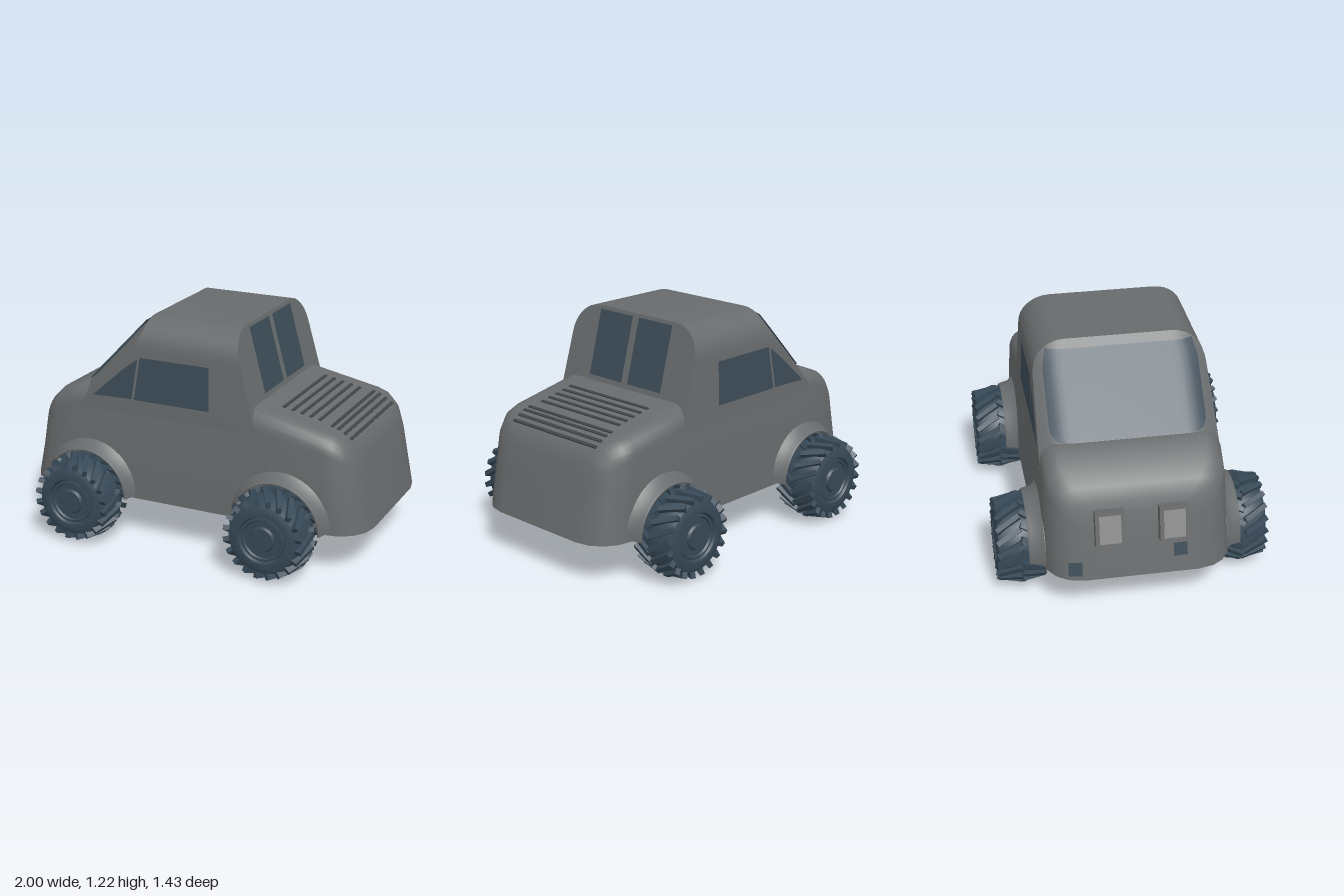
import * as THREE from 'three';
import { mergeGeometries, toCreasedNormals } from 'three/addons/utils/BufferGeometryUtils.js';

const { lerp, clamp } = THREE.MathUtils;
const material = (name, color, side = THREE.FrontSide) => {
  const m = new THREE.MeshStandardMaterial({ color, side });
  m.name = name;
  return m;
};

// Surface through points f(i, j)
function grid(nu, nv, f, crease = 0.6) {
  const pos = [], idx = [];
  for (let i = 0; i < nu; i++) for (let j = 0; j < nv; j++) pos.push(...f(i, j));
  for (let i = 0; i < nu - 1; i++) for (let j = 0; j < nv - 1; j++) {
    const a = i * nv + j, b = a + 1, c = a + nv, d = c + 1;
    idx.push(a, b, c, b, d, c);
  }
  const g = new THREE.BufferGeometry();
  g.setAttribute('position', new THREE.Float32BufferAttribute(pos, 3));
  g.setIndex(idx);
  return toCreasedNormals(g, crease);
}

const FLOOR = 0.23;
const ROOF = 1.22;
const inset = y => 0.04 * (y - FLOOR);
const sideZ = y => 0.488 - inset(y);
const frontX = (y, z) => -0.64 + (y - 0.825) * 0.962 + 3.5 * Math.max(0, Math.abs(z) - 0.3) ** 2;
const rearX = y => 0.365 - (y - 0.83) * 0.269;

// Half profile of the cabin: straight side, then the round roof edge
const cabinHalf = [[0.7, sideZ(0.7)], [0.88, sideZ(0.88)]];
for (let k = 0; k <= 8; k++) {
  const a = k / 8 * Math.PI / 2;
  cabinHalf.push([1.05 + 0.17 * Math.sin(a), sideZ(1.05) - 0.17 * (1 - Math.cos(a))]);
}

// Leaning hull stations: plan angle, top x, top y
const frontEnd = [[90, -0.92, 0.57], [65, -0.9, 0.63], [45, -0.865, 0.7], [22, -0.79, 0.765], [0, -0.64, 0.825]];
const rearEnd = [[0, 0.74, 0.755], [20, 0.8, 0.738], [42, 0.86, 0.7], [65, 0.9, 0.65], [90, 0.917, 0.59]];

function hullGeometry() {
  const end = s => ([deg, xt, yt]) => {
    const a = deg * Math.PI / 180;
    return { xb: s * (0.8 + 0.195 * Math.sin(a)), xt, yt, w: 0.292 + 0.195 * Math.cos(a) };
  };
  const mid = (x, yt) => ({ xb: x, xt: x, yt, w: 0.487 });
  const stations = [...frontEnd.map(end(-1)), mid(-0.5, 0.8), mid(0.3, 0.8), mid(0.365, 0.83), ...rearEnd.map(end(1))];
  const rings = stations.map(({ xb, xt, yt, w }) => {
    const r = 0.1, half = [[FLOOR, w], [0.4, w - inset(0.4)]];
    for (let k = 0; k <= 6; k++) {
      const a = k / 6 * Math.PI / 2;
      half.push([yt - r + r * Math.sin(a), w - inset(yt - r) - r * (1 - Math.cos(a))]);
    }
    const full = [...half, ...half.slice().reverse().map(([y, z]) => [y, -z]), half[0]];
    return full.map(([y, z]) => [lerp(xb, xt, (y - FLOOR) / (yt - FLOOR)), y, z]);
  });
  // Flat ends close on a middle point
  const cap = ({ xb, xt, yt }, n) => Array(n).fill([(xb + xt) / 2, (FLOOR + yt) / 2, 0]);
  const n = rings[0].length;
  const all = [cap(stations[0], n), ...rings, cap(stations.at(-1), n)];
  return grid(n, all.length, (i, j) => all[j][i]);
}

// Treaded tyre with its hub, axle along z
function wheelGeometries() {
  const profile = [[0, -0.11], [0.15, -0.125], [0.185, -0.115], [0.205, -0.07], [0.214, 0], [0.205, 0.07],
    [0.185, 0.115], [0.155, 0.128], [0.128, 0.126], [0.12, 0.11]];
  const hubProfile = [[0.122, 0.1], [0.118, 0.116], [0.106, 0.118], [0.1, 0.108], [0.068, 0.108], [0.06, 0.122], [0, 0.122]];
  const lathe = p => toCreasedNormals(
    new THREE.LatheGeometry(p.map(q => new THREE.Vector2(...q)), 36).rotateX(Math.PI / 2), 0.5);
  const lugs = [];
  for (let k = 0; k < 20; k++) for (const s of [-1, 1]) {
    const lug = new THREE.BoxGeometry(0.026, 0.034, 0.14);
    lug.rotateY(s * 0.5).rotateX(s * 0.2).translate(0, 0.209, s * 0.06);
    lugs.push(lug.rotateZ((k + (s > 0 ? 0 : 0.3)) / 20 * Math.PI * 2));
  }
  return { tyre: lathe(profile), hub: lathe(hubProfile), tread: mergeGeometries(lugs) };
}

export function createModel() {
  const model = new THREE.Group();
  const paint = material('grey paint', 0x686b6c, THREE.DoubleSide);
  const glass = material('dark blue glass', 0x3c4c58, THREE.DoubleSide);
  const rubber = material('blue black rubber', 0x364856);
  const lampGrey = material('lamp grey', 0x8e8e8e);
  const slot = material('dark slot', 0x404446);
  const add = (name, geometry, mat, parent = model) => {
    const mesh = new THREE.Mesh(geometry, mat);
    mesh.name = name;
    parent.add(mesh);
    return mesh;
  };

  add('hull', hullGeometry(), paint);

  // Cabin shell with its front and rear walls
  const shell = [...cabinHalf, ...cabinHalf.slice().reverse().map(([y, z]) => [y, -z])];
  add('cabinShell', grid(shell.length, 2, (i, j) => {
    const [y, z] = shell[i];
    return [j ? rearX(y) : frontX(y, z), y, z];
  }), paint);
  add('cabinFront', grid(cabinHalf.length, 25, (i, j) => {
    const [y, w] = cabinHalf[i], z = (j / 12 - 1) * w;
    return [frontX(y, z), y, z];
  }), paint);
  add('cabinRear', grid(2, cabinHalf.length, (i, j) => {
    const [y, w] = cabinHalf[j];
    return [rearX(y), y, i ? w : -w];
  }), paint);

  // Windscreen with rounded lower corners
  add('windscreen', grid(17, 25, (i, j) => {
    const t = i / 16, y = lerp(0.825, 1.18, t * t);
    const d = 1 - clamp((y - 0.825) / 0.05, 0, 1);
    const w = 0.355 + 0.05 * Math.sqrt(1 - d * d) - 0.02 * clamp((y - 1.1) / 0.08, 0, 1);
    const z = (j / 12 - 1) * w;
    return [frontX(y, z) - 0.006, y + 0.006, z];
  }), glass);

  // Side and rear windows
  const doorPane = [[-0.305, 0.785], [0.135, 0.785], [0.13, 1.02], [-0.27, 1.02]];
  const quarterPane = [[-0.555, 0.78], [-0.32, 0.787], [-0.285, 1.01], [-0.37, 0.945]];
  const pane = (points, place) => {
    const g = new THREE.ShapeGeometry(new THREE.Shape(points.map(p => new THREE.Vector2(...p))));
    const p = g.attributes.position;
    for (let i = 0; i < p.count; i++) p.setXYZ(i, ...place(p.getX(i), p.getY(i)));
    g.computeVertexNormals();
    return g;
  };
  for (const s of [-1, 1]) {
    const onSide = (x, y) => [x, y, s * (sideZ(y) + 0.005)];
    add('doorWindow', pane(doorPane, onSide), glass);
    add('quarterWindow', pane(quarterPane, onSide), glass);
    add('rearWindow', pane([[0.022, 0.858], [0.265, 0.858], [0.265, 1.203], [0.022, 1.203]],
      (z, y) => [rearX(y) + 0.005, y, s * z]), glass);
  }

  // Vent slots across the rear deck
  const deck = [[0.365, 0.83], ...rearEnd.map(([, x, y]) => [x, y])];
  const vents = [0.48, 0.53, 0.58, 0.63, 0.68, 0.755, 0.79, 0.825, 0.86];
  vents.forEach((x, i) => {
    const k = deck.findIndex(p => p[0] >= x - 1e-6);
    const [[x0, y0], [x1, y1]] = [deck[k - 1], deck[k]];
    const vent = add('deckVent', new THREE.BoxGeometry(0.016, 0.009, i < 5 ? 0.59 : 0.63), slot);
    vent.position.set(x, lerp(y0, y1, (x - x0) / (x1 - x0)) + 0.001, 0);
    vent.rotation.z = Math.atan2(y1 - y0, x1 - x0);
  });

  // Headlamps and small dark lower lamps on the leaning nose
  const lean = -0.21;
  for (const s of [-1, 1]) {
    const lamp = new THREE.Group();
    lamp.name = 'headlamp';
    lamp.position.set(-0.955, 0.513, s * 0.163);
    lamp.rotation.z = lean;
    add('lampHousing', new THREE.BoxGeometry(0.055, 0.185, 0.15), paint, lamp);
    add('lampLens', new THREE.BoxGeometry(0.008, 0.15, 0.11), lampGrey, lamp).position.x = -0.027;
    model.add(lamp);
  }
  for (const [y, z] of [[0.29, -0.34], [0.35, 0.2]]) {
    const lamp = add('lowerLamp', new THREE.BoxGeometry(0.009, 0.07, 0.07), glass);
    lamp.position.set(-0.993 + (y - FLOOR) * 0.22 + (Math.abs(z) > 0.3 ? 0.006 : 0), y, z);
    lamp.rotation.set(0, z < -0.3 ? -0.2 : 0, lean);
  }

  // Wheels with flared arches, the far side turned round
  const { tyre, hub, tread } = wheelGeometries();
  const flareProfile = [[0.238, 0.44], [0.238, 0.55], [0.246, 0.553], [0.252, 0.54], [0.262, 0.5], [0.285, 0.475], [0.285, 0.44]];
  const flare = toCreasedNormals(new THREE.LatheGeometry(flareProfile.map(p => new THREE.Vector2(...p)),
    28, Math.PI / 2, Math.PI).rotateX(Math.PI / 2), 0.7);
  for (const x of [-0.575, 0.545]) for (const s of [-1, 1]) {
    const corner = new THREE.Group();
    corner.name = (x < 0 ? 'front' : 'rear') + 'Wheel';
    corner.position.set(x, 0.24, 0);
    corner.rotation.y = s > 0 ? 0 : Math.PI;
    add('wheelArch', flare, paint, corner);
    for (const [name, g] of [['tyre', tyre], ['hub', hub], ['tread', tread]])
      add(name, g, rubber, corner).position.z = 0.585;
    model.add(corner);
  }
  return model;
}
